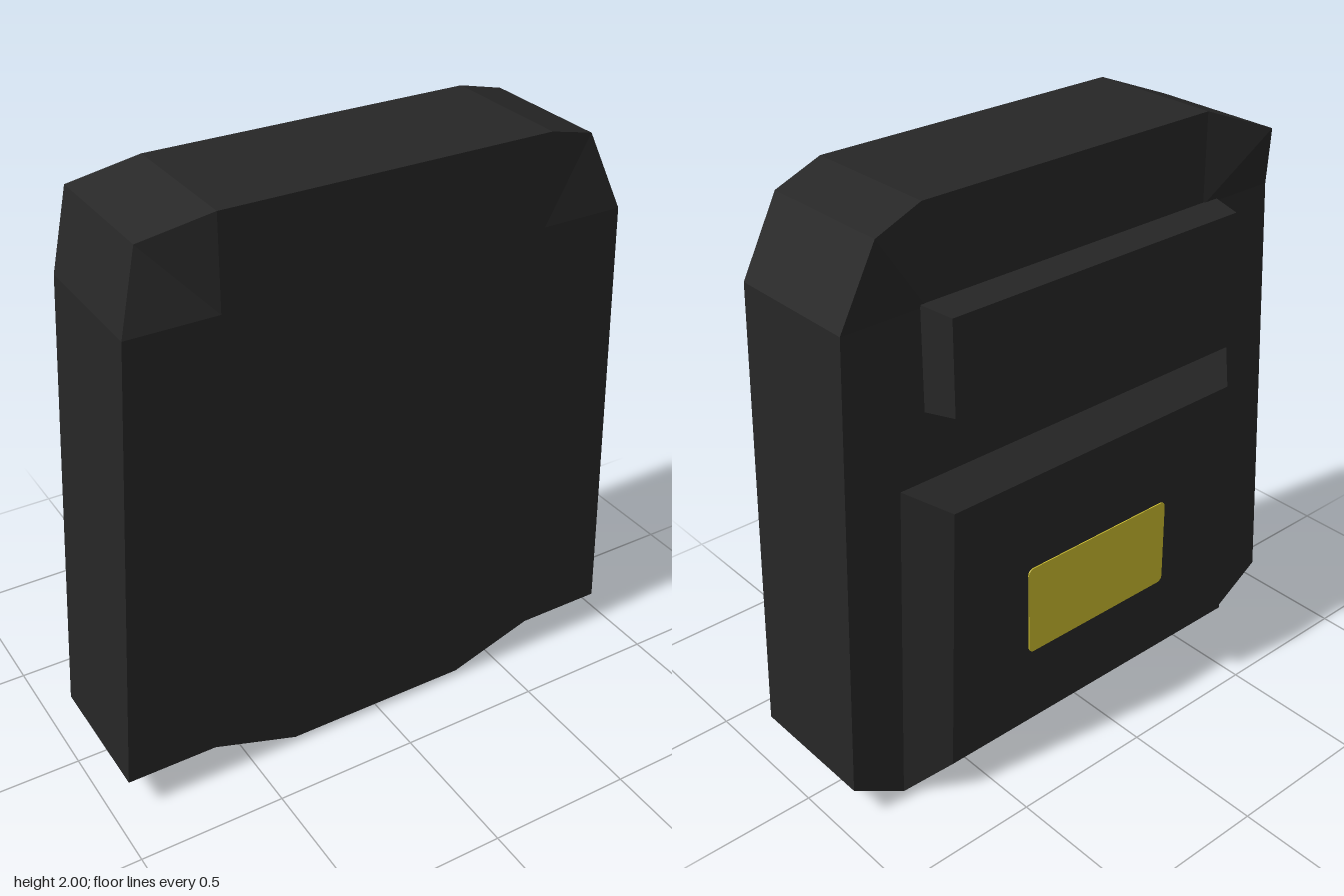
import * as THREE from 'three';

const FRONT = 0.293, BACK = -0.18, POCKET = -0.291;

// Flat-shaded geometry from a list of triangle corner points
function facets(points) {
  const g = new THREE.BufferGeometry();
  g.setAttribute('position', new THREE.Float32BufferAttribute(points.flat(), 3));
  g.computeVertexNormals();
  return g;
}

// Tapered slab: a front and a back loop, bridged and capped, with folded top corners
function bodyGeometry() {
  const front = [
    [-0.94, 0.12, FRONT], [-0.63, 0.12, FRONT], [-0.33, 0.02, FRONT],
    [0.33, 0.02, FRONT], [0.63, 0.12, FRONT], [0.94, 0.12, FRONT],
    [0.87, 1.69, FRONT], [0.76, 1.95, 0.26], [0.58, 2, FRONT],
    [-0.54, 2, FRONT], [-0.75, 1.92, 0.21], [-0.84, 1.69, FRONT],
  ];
  const back = front.map(([x, y]) => [x, y, BACK]);
  back[1] = [-0.75, 0, BACK];
  back[4] = [0.75, 0, BACK];
  back[7][2] = -0.21;
  back[10][2] = -0.265;

  const tris = [];
  // Rim
  front.forEach((f, i) => {
    const j = (i + 1) % front.length;
    tris.push(f, back[i], back[j], f, back[j], front[j]);
  });
  // Front and back caps
  [[front, FRONT, false], [back, BACK, true]].forEach(([loop, z, flip]) => {
    const add = (a, b, c) => (flip ? tris.push(a, c, b) : tris.push(a, b, c));
    const r = [0.58, 1.69, z], l = [-0.54, 1.69, z];
    const flat = [...loop.slice(0, 7), r, loop[8], loop[9], l, loop[11]];
    const contour = flat.map(([x, y]) => new THREE.Vector2(x, y));
    THREE.ShapeUtils.triangulateShape(contour, [])
      .forEach(([a, b, c]) => add(flat[a], flat[b], flat[c]));
    add(loop[6], loop[7], r);
    add(loop[7], loop[8], r);
    add(loop[9], loop[10], l);
    add(loop[10], loop[11], l);
  });
  return facets(tris);
}

// Bevelled block on the back; each end is [half width at bottom, at top, bottom y, top y]
function pocketGeometry(base, outer) {
  const g = new THREE.BoxGeometry(1, 1, 1).toNonIndexed();
  const p = g.attributes.position;
  for (let i = 0; i < p.count; i++) {
    const isBase = p.getZ(i) > 0, top = p.getY(i) > 0;
    const [wb, wt, yb, yt] = isBase ? base : outer;
    p.setXYZ(i, Math.sign(p.getX(i)) * (top ? wt : wb), top ? yt : yb, isBase ? BACK : POCKET);
  }
  g.computeVertexNormals();
  return g;
}

// Thin plate with slightly rounded corners
function labelGeometry(w, h, r) {
  const s = new THREE.Shape();
  s.absarc(w - r, h - r, r, 0, Math.PI / 2);
  s.absarc(r - w, h - r, r, Math.PI / 2, Math.PI);
  s.absarc(r - w, r - h, r, Math.PI, Math.PI * 1.5);
  s.absarc(w - r, r - h, r, Math.PI * 1.5, Math.PI * 2);
  return new THREE.ExtrudeGeometry(s, { depth: 0.004, bevelEnabled: false, curveSegments: 3 });
}

export function createModel() {
  const fabric = new THREE.MeshStandardMaterial({ color: 0x262626 });
  fabric.name = 'black fabric';
  const yellow = new THREE.MeshStandardMaterial({ color: 0xc8b92e });
  yellow.name = 'yellow patch';

  const group = new THREE.Group();
  group.name = 'backpack';
  const add = (name, geometry, material) => {
    const mesh = new THREE.Mesh(geometry, material);
    mesh.name = name;
    group.add(mesh);
    return mesh;
  };

  add('body', bodyGeometry(), fabric);
  add('upperPocket', pocketGeometry([0.6, 0.6, 1.36, 1.7], [0.575, 0.575, 1.375, 1.69]), fabric);
  add('lowerPocket', pocketGeometry([0.75, 0.7, 0, 1.13], [0.63, 0.59, 0.12, 1.06]), fabric);
  add('patch', labelGeometry(0.305, 0.163, 0.02), yellow).position.set(0, 0.563, POCKET - 0.004);
  return group;
}
